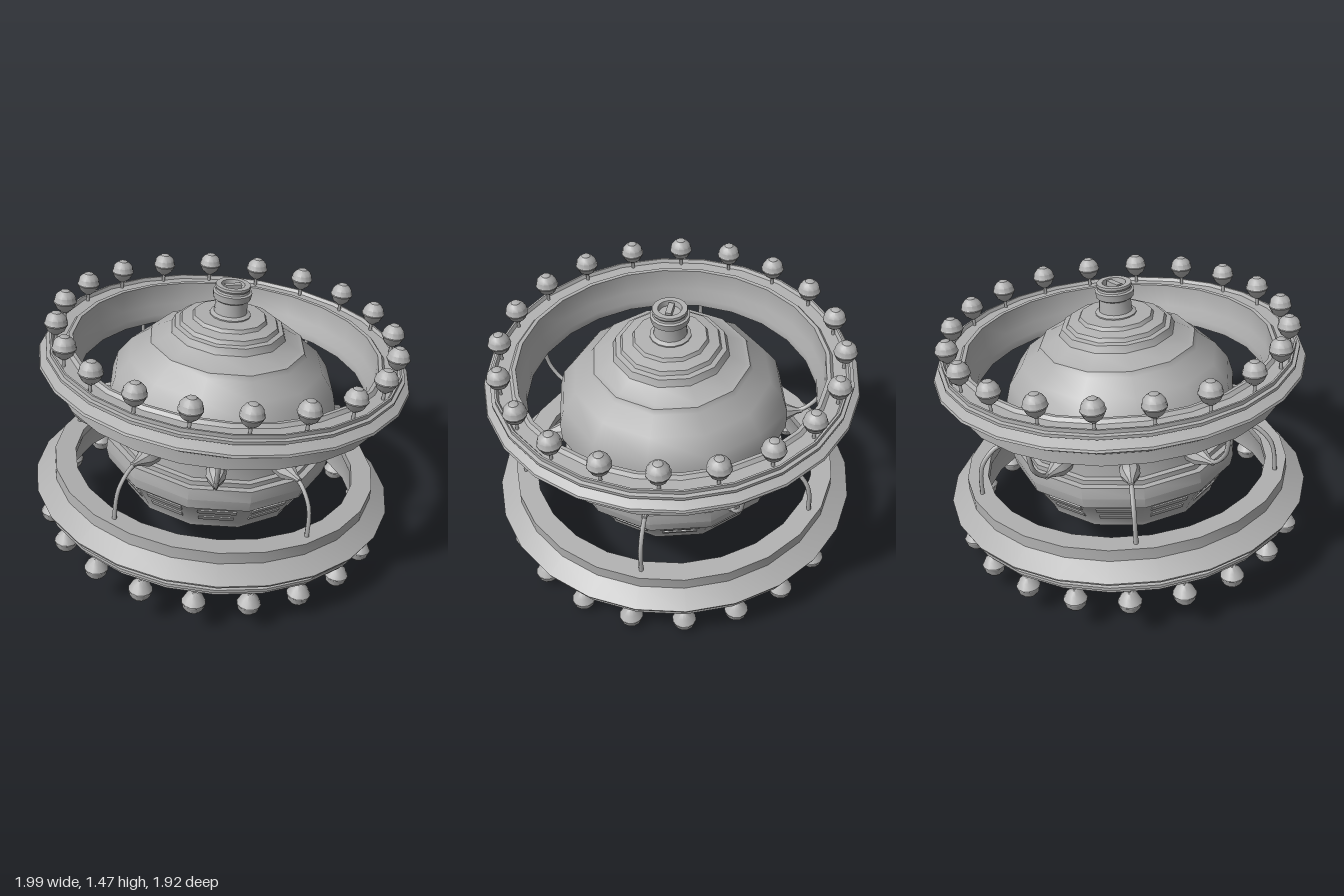
import * as THREE from 'three';
import { toCreasedNormals } from 'three/addons/utils/BufferGeometryUtils.js';

const grey = new THREE.MeshStandardMaterial({ color: 0xb0b0b0 });
grey.name = 'plain grey';

const MID = 0.67; // height of the plane between the two rings

function part(name, geometry, parent) {
  const mesh = new THREE.Mesh(geometry, grey);
  mesh.name = name;
  parent.add(mesh);
  return mesh;
}

function group(name, parent) {
  const g = new THREE.Group();
  g.name = name;
  parent.add(g);
  return g;
}

// Lathe with sharp steps; side = -1 turns the profile upside down
function turned(profile, sides, side = 1) {
  const pts = profile.map(([r, y]) => new THREE.Vector2(r, y * side));
  if (side < 0) pts.reverse();
  return toCreasedNormals(new THREE.LatheGeometry(pts, sides), 0.6);
}

// Central body: lower hull, waist and stepped dome
function addBody(parent) {
  part('body', turned([
    [0, 0.31], [0.44, 0.31], [0.45, 0.30], [0.475, 0.30], [0.485, 0.33],
    [0.565, 0.465], [0.59, 0.48], [0.605, 0.54], [0.6, 0.602],
    [0.57, 0.605], [0.57, 0.63], [0.545, 0.635], [0.545, 0.735],
    [0.57, 0.74], [0.57, 0.762], [0.603, 0.765], [0.605, 0.87],
    [0.58, 0.96], [0.51, 1.055], [0.42, 1.125], [0.405, 1.15], [0.38, 1.155],
    [0.30, 1.2], [0.285, 1.235], [0.26, 1.24], [0.25, 1.26],
    [0.195, 1.272], [0.185, 1.29], [0.08, 1.295],
  ], 12), parent);

  // Two rows of slit plates on the lower hull
  const slits = group('hullSlits', parent);
  for (let i = 0; i < 12; i++) {
    const facet = group('hullFacet', slits);
    facet.rotation.y = (i + 0.5) * Math.PI / 6;
    for (const [r, y, w] of [[0.549, 0.438, 0.2], [0.513, 0.378, 0.18]]) {
      const slit = part('slit', new THREE.BoxGeometry(w, 0.032, 0.009), facet);
      slit.position.set(0, y, r * Math.cos(Math.PI / 12) + 0.002);
      slit.rotation.x = 0.535;
    }
  }

  // Neck with a hollow cap and a crossbar
  part('neck', turned([
    [0.105, 1.285], [0.105, 1.3], [0.085, 1.31], [0.08, 1.375], [0.095, 1.385],
    [0.1, 1.42], [0.088, 1.425], [0.085, 1.435], [0.09, 1.445], [0.088, 1.457],
    [0.06, 1.457], [0.055, 1.43], [0, 1.43],
  ], 16), parent);
  const bar = part('neckCrossbar', new THREE.BoxGeometry(0.085, 0.03, 0.03), parent);
  bar.position.y = 1.442;
}

// Ring with bulbs on stems; side is 1 for the upper ring and -1 for the lower
function addRing(name, parent, side, startDegrees) {
  const ring = group(name, parent);
  ring.position.y = MID;
  part('ringRim', turned([
    [0.755, 0.237], [0.865, 0.237], [0.865, 0.3], [0.962, 0.363], [0.957, 0.375],
    [0.9, 0.405], [0.928, 0.412], [0.928, 0.428], [0.91, 0.432], [0.91, 0.452],
    [0.9, 0.452], [0.89, 0.435], [0.825, 0.435], [0.81, 0.452],
    [0.79, 0.45], [0.785, 0.33], [0.755, 0.28], [0.755, 0.237],
  ], 24, side), ring);

  const bulbShape = turned([
    [0, -0.06], [0.018, -0.058], [0.044, -0.036], [0.058, -0.006], [0.061, -0.003],
    [0.061, 0.003], [0.058, 0.006], [0.053, 0.03], [0.04, 0.047],
    [0.026, 0.056], [0.024, 0.06], [0, 0.061],
  ], 12, side);
  const stemShape = new THREE.CylinderGeometry(0.009, 0.009, 0.06, 6);
  for (let i = 0; i < 20; i++) {
    const a = THREE.MathUtils.degToRad(startDegrees + i * 18);
    const x = 0.873 * Math.cos(a), z = 0.873 * Math.sin(a);
    part('bulb', bulbShape, ring).position.set(x, side * 0.535, z);
    part('bulbStem', stemShape, ring).position.set(x, side * 0.458, z);
  }
}

// Ten pods on the waist, with arms going to the lower and upper ring in turn
function addArms(parent) {
  const podShape = turned([
    [0, 0.52], [0.046, 0.52], [0.05, 0.54], [0.05, 0.605],
    [0.04, 0.625], [0.018, 0.67], [0.013, 0.7], [0, 0.7],
  ], 8);
  podShape.rotateZ(-Math.PI / 2);
  for (let i = 0; i < 10; i++) {
    const arm = group('arm', parent);
    arm.position.y = 0.695;
    arm.rotation.y = -i * Math.PI / 5;
    part('pod', podShape, arm);
    const side = i % 2 ? 1 : -1;
    const end = side > 0 ? 0.225 : 0.27;
    const path = new THREE.CatmullRomCurve3(
      [[0.66, 0], [0.715, 0.015], [0.785, 0.085], [0.805, 0.145], [0.812, end]]
        .map(([r, y]) => new THREE.Vector3(r, y * side, 0)));
    part('armRod', new THREE.TubeGeometry(path, 12, 0.012, 6), arm);
  }
}

export function createModel() {
  const model = new THREE.Group();
  model.name = 'ringedStation';

  // The whole station leans towards its left
  const station = group('leaningStation', model);
  station.position.x = -0.07;
  station.rotation.z = -0.098;

  addBody(station);
  addRing('upperRing', station, 1, 10);
  addRing('lowerRing', station, -1, 3.3);
  addArms(station);
  return model;
}
